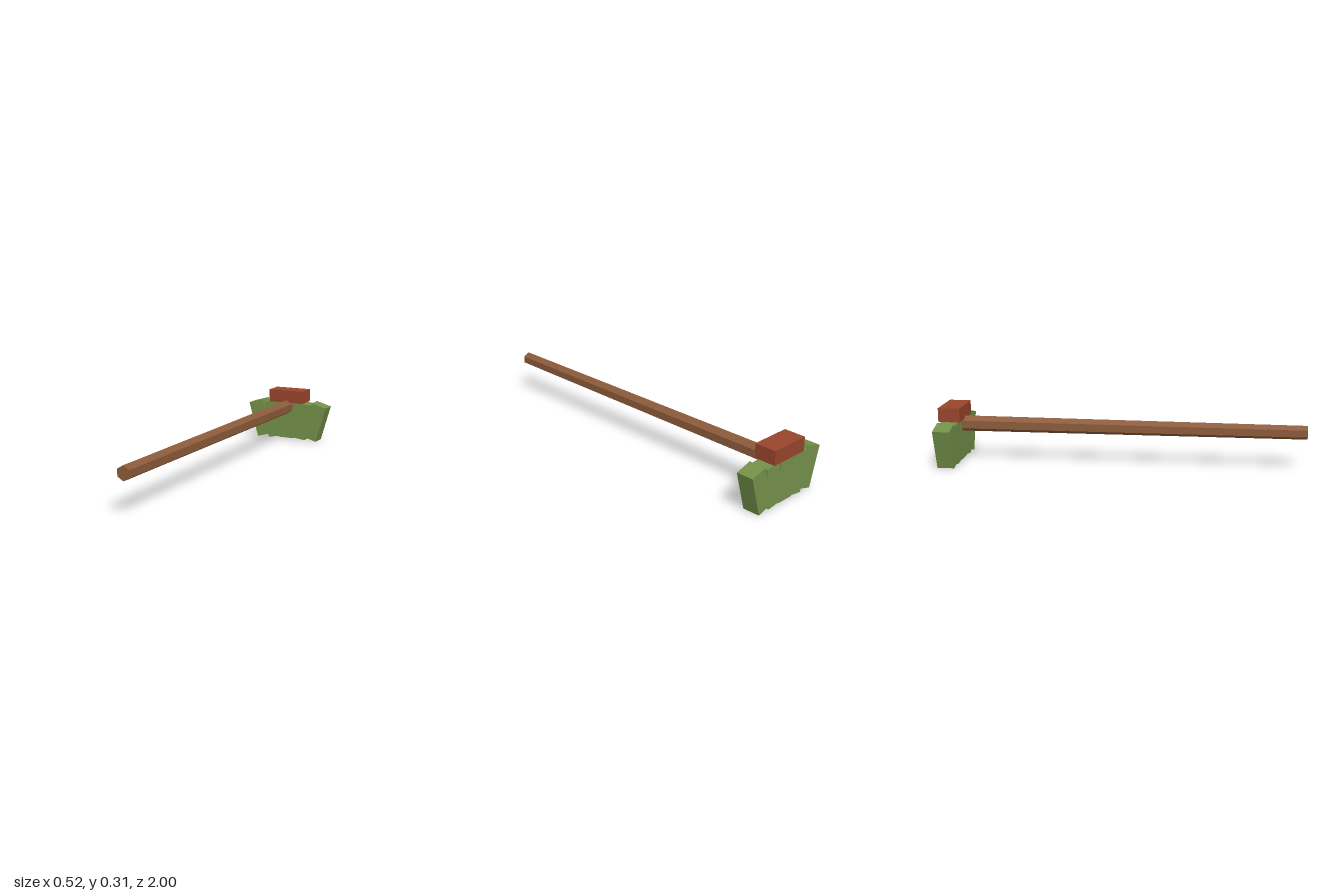
import * as THREE from 'three';

export function createModel() {
  const model = new THREE.Group();
  model.name = 'broom';

  const material = (name, color) => {
    const m = new THREE.MeshStandardMaterial({ color, flatShading: true });
    m.name = name;
    return m;
  };
  const wood = material('brown wood', 0x8b5a3a);
  const red = material('red brown block', 0x98452c);
  const green = material('green bristles', 0x739149);

  const add = (name, geometry, mat, x, y, z) => {
    const mesh = new THREE.Mesh(geometry, mat);
    mesh.name = name;
    mesh.position.set(x, y, z);
    model.add(mesh);
    return mesh;
  };

  // Tapered six-sided handle, thin end forward, corner edges up and down
  const front = 1, back = -0.94;
  const handle = add('handle',
    new THREE.CylinderGeometry(0.038, 0.044, front - back, 6),
    wood, 0, 0.209, (front + back) / 2);
  handle.rotation.x = Math.PI / 2;

  // Block that holds the bristles
  add('headBlock', new THREE.BoxGeometry(0.226, 0.077, 0.12), red, 0, 0.2765, -0.94);

  // Five bristle bundles fanned out to the sides
  const bundle = new THREE.BoxGeometry(0.096, 0.225, 0.095);
  for (let i = -2; i <= 2; i++) {
    const bristles = add('bristleBundle' + (i + 3), bundle, green, i * 0.0915, 0.123, -0.942);
    bristles.rotation.z = THREE.MathUtils.degToRad(-8 * i);
  }

  return model;
}
